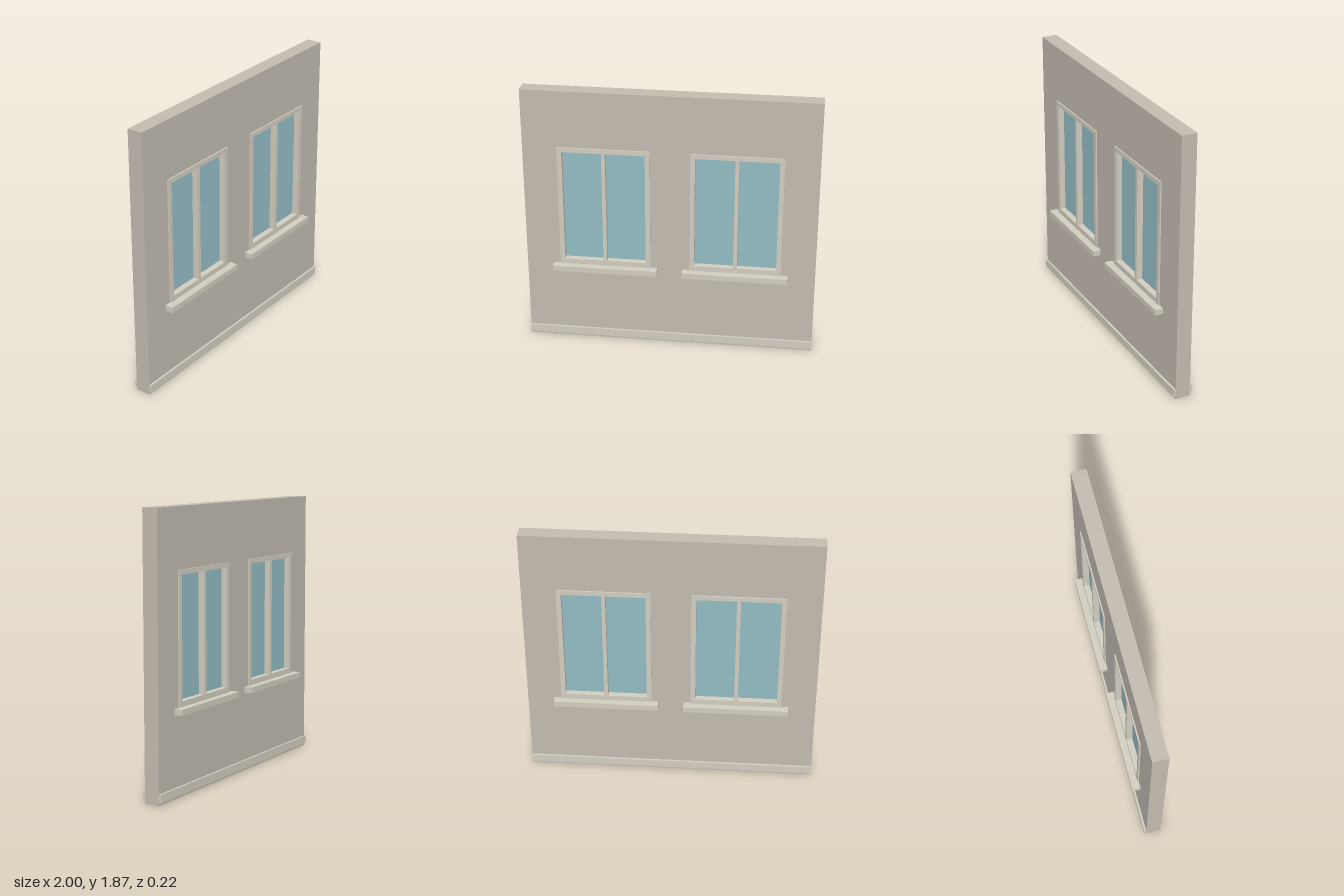
import * as THREE from 'three';

const mat = (color) => new THREE.MeshStandardMaterial({ color });

// Rectangle outline, usable as a shape or a hole
function rect(Type, x0, y0, x1, y1) {
  const p = new Type();
  p.moveTo(x0, y0);
  p.lineTo(x1, y0);
  p.lineTo(x1, y1);
  p.lineTo(x0, y1);
  p.closePath();
  return p;
}

// Panel with holes, centred on z = 0
function panel(name, shape, depth, material) {
  const geo = new THREE.ExtrudeGeometry(shape, { depth, bevelEnabled: false });
  geo.translate(0, 0, -depth / 2);
  const mesh = new THREE.Mesh(geo, material);
  mesh.name = name;
  return mesh;
}

function box(name, w, h, d, x, y, z, material) {
  const mesh = new THREE.Mesh(new THREE.BoxGeometry(w, h, d), material);
  mesh.name = name;
  mesh.position.set(x, y, z);
  return mesh;
}

export function createModel() {
  const group = new THREE.Group();
  group.name = 'wallWithWindows';
  const wallMat = mat(0xc2bbb0);
  const trimMat = mat(0xd2cdc0);
  const glassMat = mat(0x93bcc4);
  const centre = 0.45;

  // Wall with two window openings
  const wall = rect(THREE.Shape, -1, 0, 1, 1.87);
  for (const s of [-1, 1]) {
    wall.holes.push(rect(THREE.Path, s * centre - 0.3, 0.57, s * centre + 0.3, 1.455));
  }
  group.add(panel('wall', wall, 0.107, wallMat));

  // Windows: frame with mullion, two panes, and a sill through the wall
  for (const s of [-1, 1]) {
    const win = new THREE.Group();
    win.name = s > 0 ? 'leftWindow' : 'rightWindow';
    win.position.x = s * centre;

    const frame = rect(THREE.Shape, -0.315, 0.57, 0.315, 1.47);
    for (const side of [-1, 1]) {
      const a = side * 0.013, b = side * 0.282;
      frame.holes.push(rect(THREE.Path, Math.min(a, b), 0.627, Math.max(a, b), 1.438));
      win.add(box('glassPane', 0.269, 0.811, 0.04, side * 0.1475, 1.0325, 0, glassMat));
    }
    win.add(panel('windowFrame', frame, 0.125, trimMat));
    win.add(box('windowSill', 0.725, 0.04, 0.222, 0, 0.57, 0, trimMat));
    group.add(win);
  }

  // Baseboards on both faces
  for (const s of [-1, 1]) {
    group.add(box(s > 0 ? 'frontBaseboard' : 'backBaseboard',
      2, 0.055, 0.017, 0, 0.0475, s * 0.0595, trimMat));
  }
  return group;
}
